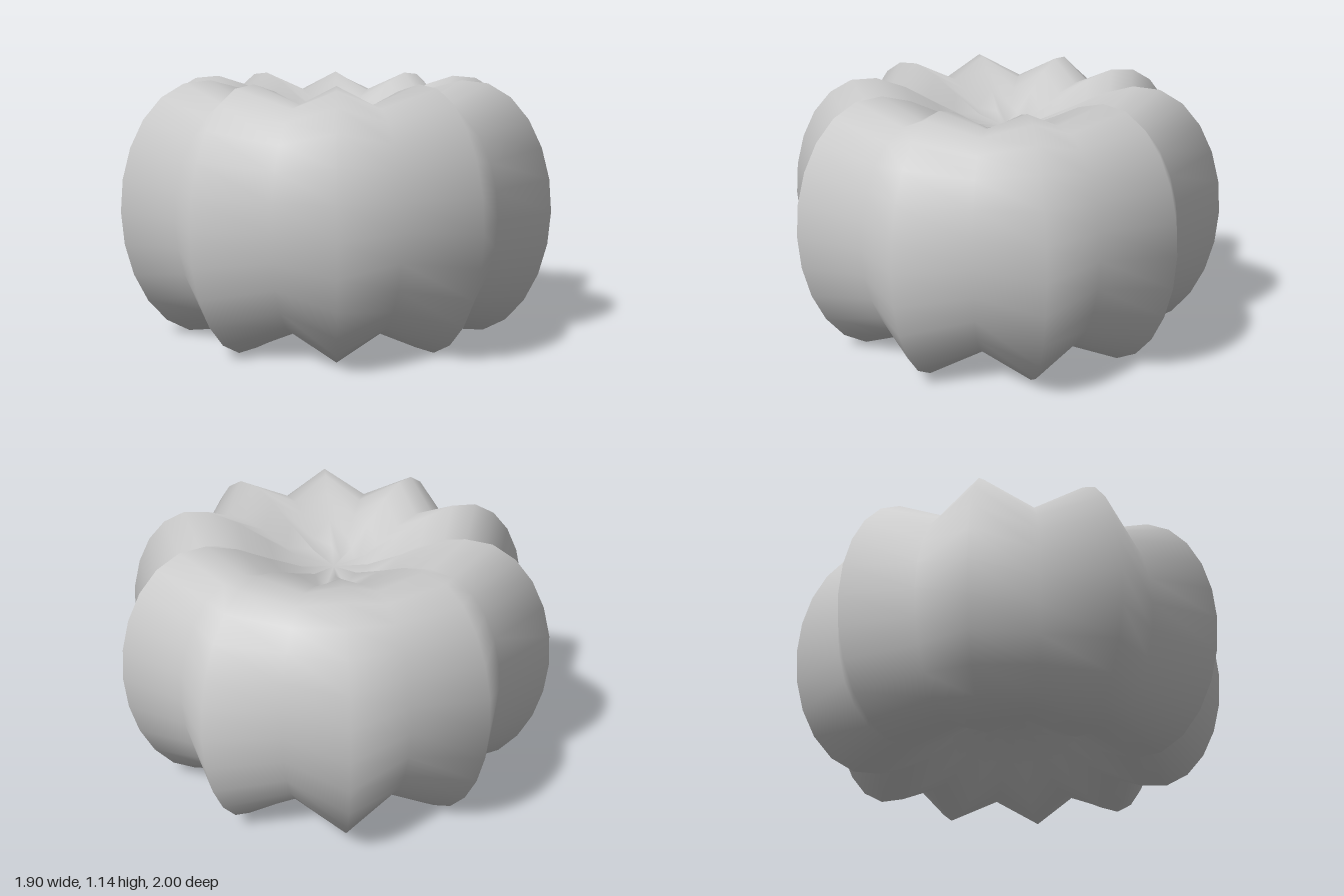
import * as THREE from 'three';
import { mergeVertices } from 'three/addons/utils/BufferGeometryUtils.js';

const RIBS = 10;
const VALLEY = 0.85; // size of the grooves relative to the ridges
const HALF_HEIGHT = 0.575;

// Height at radius r: a sphere whose pole is pushed in by a soft dent
function dentedHeight(y, r) {
  const [depth, spread] = y > 0 ? [0.63, 0.45] : [0.7, 0.4];
  return y * (1 - depth * Math.exp(-r * r / spread));
}

function ribbedBody() {
  let geo = new THREE.SphereGeometry(1, RIBS * 2, 20);
  geo.deleteAttribute('normal');
  geo.deleteAttribute('uv');
  geo = mergeVertices(geo, 1e-4);
  const p = geo.attributes.position;
  for (let i = 0; i < p.count; i++) {
    const x = p.getX(i), y = p.getY(i), z = p.getZ(i);
    const r = Math.hypot(x, z);
    // Ridges and grooves alternate around the axis, with a ridge on +z
    const wave = (1 + Math.cos(RIBS * Math.atan2(x, z))) / 2;
    const s = r < 1e-3 ? 1 : VALLEY + (1 - VALLEY) * wave;
    p.setXYZ(i, x * s, HALF_HEIGHT + dentedHeight(y, r) * s, z * s);
  }
  geo.computeVertexNormals();
  return geo;
}

export function createModel() {
  const group = new THREE.Group();
  group.name = 'pumpkin';
  const body = new THREE.Mesh(ribbedBody(), new THREE.MeshStandardMaterial({ color: 0xcccccc }));
  body.name = 'ribbedBody';
  group.add(body);
  return group;
}
